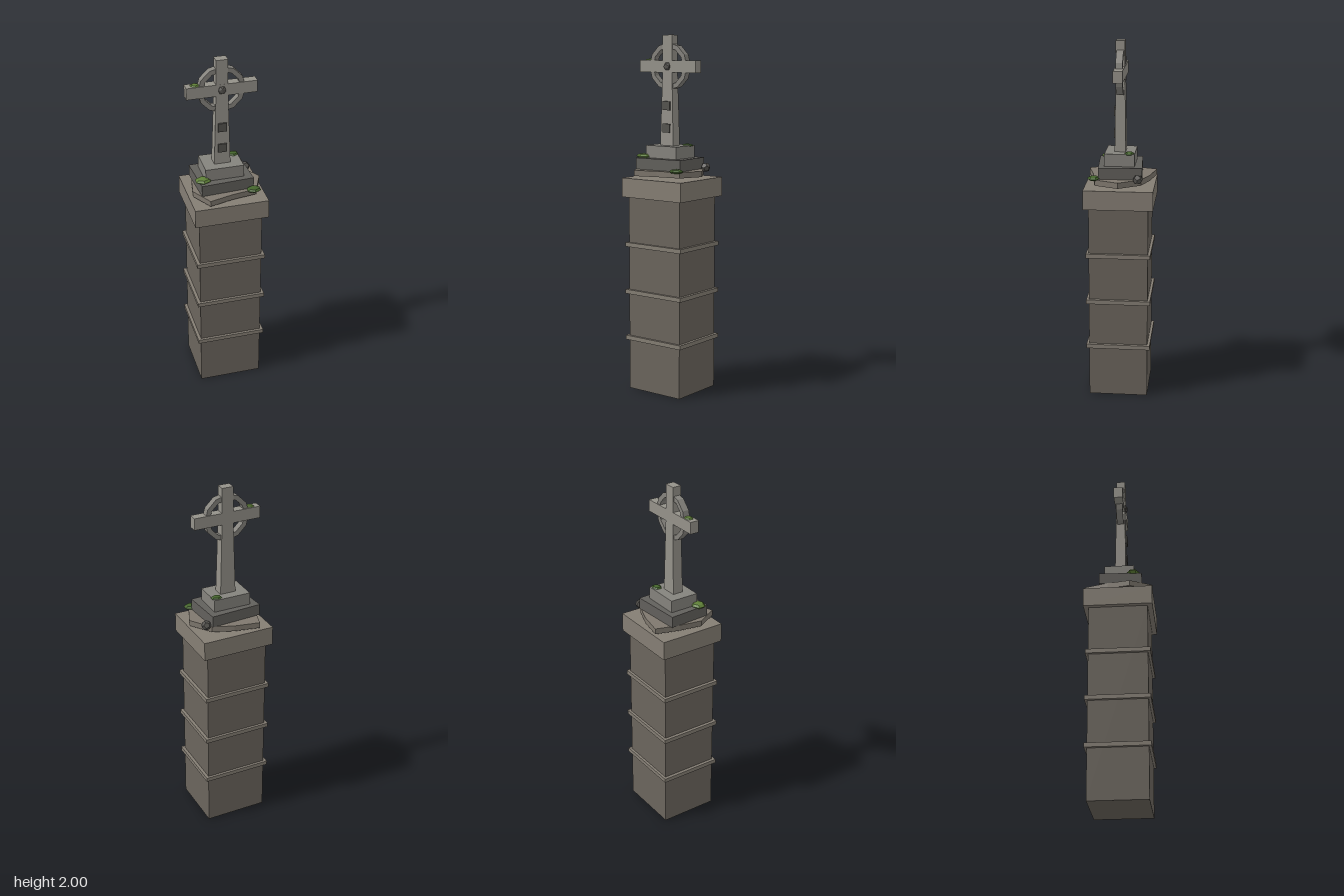
import * as THREE from 'three';

const mat = (color) => new THREE.MeshStandardMaterial({ color, flatShading: true });
const pillarStone = mat(0x6b655d), bandStone = mat(0x857e74), slabStone = mat(0x7f786e);
const darkStone = mat(0x62605c), stepStone = mat(0x85837d), crossStone = mat(0x95928a);
const carved = mat(0x55534f), mossDark = mat(0x44642c), mossLight = mat(0x5f8038);

export function createModel() {
  const group = new THREE.Group();
  const add = (name, geometry, material, x, y, z) => {
    const mesh = new THREE.Mesh(geometry, material);
    mesh.name = name;
    mesh.position.set(x, y, z);
    group.add(mesh);
    return mesh;
  };
  // box given by its bottom height
  const box = (name, material, w, h, d, x, y, z) =>
    add(name, new THREE.BoxGeometry(w, h, d), material, x, y + h / 2, z);

  // Pillar with three bands and a cap
  box('pillar', pillarStone, 0.355, 1.105, 0.328, -0.002, 0, 0);
  for (const y of [0.286, 0.553, 0.823]) box('pillarBand', bandStone, 0.39, 0.024, 0.357, -0.002, y, 0);
  box('pillarCap', bandStone, 0.413, 0.107, 0.383, -0.001, 1.105, 0);

  // Irregular slab, floating just above the cap
  const outline = [
    [0.206, 0], [0.15, 0.132], [0.01, 0.154], [-0.122, 0.19],
    [-0.19, 0.066], [-0.167, -0.06], [-0.127, -0.192], [0.014, -0.164], [0.127, -0.12],
  ].map(([x, z]) => new THREE.Vector2(x, z));
  const slab = new THREE.ExtrudeGeometry(new THREE.Shape(outline), { depth: 0.032, bevelEnabled: false });
  slab.rotateX(Math.PI / 2);
  add('brokenSlab', slab, slabStone, 0, 1.26, 0);

  // Steps
  box('lowerStep', darkStone, 0.294, 0.063, 0.241, -0.014, 1.26, 0.002).rotation.y = 0.061;
  box('upperStep', stepStone, 0.213, 0.069, 0.166, -0.0145, 1.323, 0.001);

  // Cross: tapered shaft, top post, arms
  const cx = -0.0145, cz = 0.002, cy = 1.828;
  const shaft = new THREE.BoxGeometry(0.09, 0.436, 0.061);
  const p = shaft.attributes.position;
  for (let i = 0; i < p.count; i++) {
    if (p.getY(i) > 0) p.setXYZ(i, p.getX(i) * 0.72, p.getY(i), p.getZ(i) * 0.82);
  }
  add('shaft', shaft, crossStone, cx, 1.61, cz);
  box('topPost', crossStone, 0.065, 0.172, 0.05, cx, 1.828, cz);
  box('crossArms', crossStone, 0.385, 0.066, 0.0505, cx, 1.795, cz);

  // Ring with a square section
  const section = [[0.103, -0.019], [0.13, -0.019], [0.13, 0.019], [0.103, 0.019], [0.103, -0.019]];
  const ring = new THREE.LatheGeometry(section.map(([r, h]) => new THREE.Vector2(r, h)), 12);
  ring.rotateX(Math.PI / 2);
  add('ring', ring, stepStone, cx, cy, cz);

  // Carved boss and panels on the front
  add('boss', new THREE.IcosahedronGeometry(0.024, 0), carved, cx, cy, 0.027).scale.z = 0.65;
  for (const y of [1.464, 1.588]) box('carvedPanel', carved, 0.048, 0.049, 0.02, cx, y, 0.029);

  // Moss clumps: radius, x, y, z
  const moss = (material, r, x, y, z) => {
    const geometry = new THREE.SphereGeometry(r, 6, 4);
    geometry.rotateY(Math.PI / 6);
    add('moss', geometry, material, x, y, z).scale.set(1.18, 0.38, 1);
  };
  moss(mossDark, 0.028, 0.067, 1.391, -0.052);
  moss(mossLight, 0.023, -0.155, 1.861, 0.002);
  moss(mossLight, 0.039, -0.136, 1.331, 0.082);
  moss(mossDark, 0.035, 0.134, 1.265, 0.138);

  // Loose stone
  const stone = add('looseStone', new THREE.DodecahedronGeometry(0.027, 0), carved, 0.154, 1.269, -0.105);
  stone.rotation.set(0.4, 0.3, 0.1);
  return group;
}
